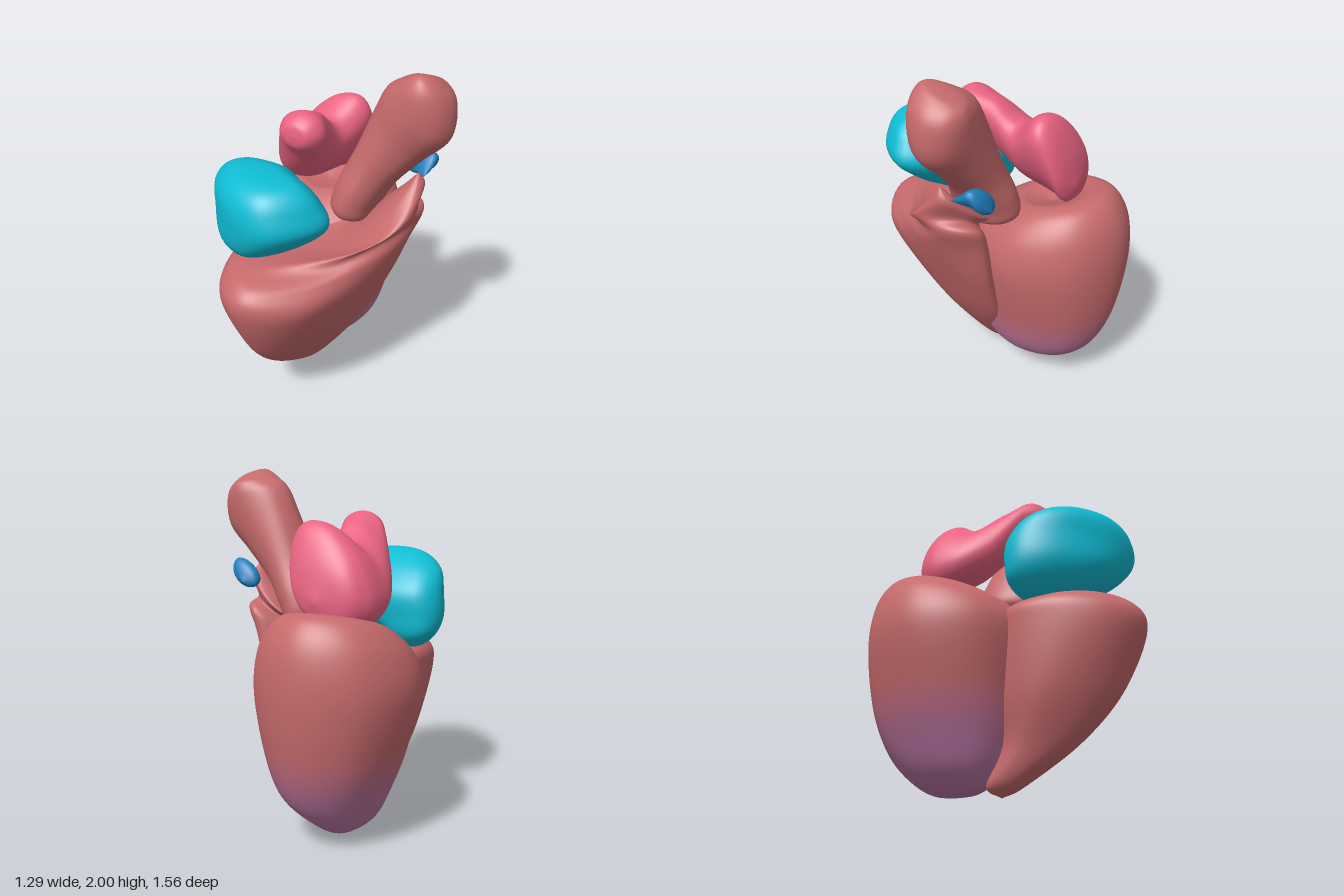
import * as THREE from 'three';
import { mergeVertices } from 'three/addons/utils/BufferGeometryUtils.js';

const V = (x, y, z) => new THREE.Vector3(x, y, z);
const RED = 0xc66a6c, PURPLE = 0xb774a2, PINK = 0xea6482, TEAL = 0x10bcd4, BLUE = 0x1f80bd;

// Smooth closed skin through rows of control points (first and last rows are poles)
function loft(rows, around = 48, along = 48) {
  const rings = rows.map(r => {
    const c = new THREE.CatmullRomCurve3(r, true, 'catmullrom', 0.5);
    return Array.from({ length: around }, (_, i) => c.getPoint(i / around));
  });
  const pos = [], idx = [];
  for (let i = 0; i < around; i++) {
    const c = new THREE.CatmullRomCurve3(rings.map(r => r[i]), false, 'catmullrom', 0.5);
    for (let j = 0; j <= along; j++) pos.push(...c.getPoint(j / along).toArray());
  }
  const id = (i, j) => (i % around) * (along + 1) + j;
  for (let i = 0; i < around; i++) for (let j = 0; j < along; j++) {
    const a = id(i, j), b = id(i + 1, j), c = id(i + 1, j + 1), d = id(i, j + 1);
    idx.push(a, b, c, a, c, d);
  }
  // Turn the faces outward when the enclosed volume is negative
  const p = k => V(pos[3 * k], pos[3 * k + 1], pos[3 * k + 2]);
  let volume = 0;
  for (let k = 0; k < idx.length; k += 3) volume += p(idx[k]).dot(p(idx[k + 1]).cross(p(idx[k + 2])));
  if (volume < 0) idx.reverse();
  let g = new THREE.BufferGeometry();
  g.setAttribute('position', new THREE.Float32BufferAttribute(pos, 3));
  g.setIndex(idx);
  g = mergeVertices(g, 1e-5);
  g.computeVertexNormals();
  return g;
}

// Eight points round a unit circle, starting at the front
const circle = Array.from({ length: 8 }, (_, i) => [-Math.sin(i * Math.PI / 4), Math.cos(i * Math.PI / 4)]);

// Horizontal oval: centre, radii, tilt about z, rise towards the back
const oval = ([x, y, z, rx, rz, tilt = 0, rise = 0]) => circle.map(([c, s]) =>
  V(x + rx * c * Math.cos(tilt), y - rx * c * Math.sin(tilt) - rise * rz * s, z + rz * s));

// Upright oval facing z: depth, centre, radii, shear lifting the +x side
const slice = ([z, x, y, rx, ry, shear = 0]) => circle.map(([c, s]) =>
  V(x + rx * c, y + ry * s + shear * rx * c, z));

// Section from x, z pairs, lifted towards the back on the +x side
const section = (y, pts, lift = 0) => pts.map(([x, z]) => V(x, y + lift * Math.max(0, x) * (0.5 - z), z));

export function createModel() {
  const model = new THREE.Group();
  const add = (name, geometry, color, parent = model) => {
    const mesh = new THREE.Mesh(geometry, new THREE.MeshStandardMaterial({ color }));
    mesh.name = name;
    parent.add(mesh);
  };

  // Back chamber: egg with a dimpled top, tinted towards its tip in soft bands
  const back = loft([
    [-0.22, 0.02, -0.23, 0, 0], [-0.22, 0.035, -0.24, 0.07, 0.13], [-0.21, 0.12, -0.26, 0.18, 0.25],
    [-0.18, 0.27, -0.29, 0.29, 0.36], [-0.19, 0.5, -0.31, 0.37, 0.43],
    [-0.2, 0.83, -0.31, 0.44, 0.47], [-0.2, 1.03, -0.32, 0.41, 0.44, 0, 0.12],
    [-0.2, 1.16, -0.34, 0.32, 0.34, 0, 0.22], [-0.2, 1.21, -0.35, 0.22, 0.22, 0, 0.25],
    [-0.2, 1.18, -0.33, 0.12, 0.12, 0, 0.25], [-0.2, 1.14, -0.32, 0, 0],
  ].map(oval), 72, 72);
  const bands = Array.from({ length: 12 }, () => []);
  const ix = back.index.array, bp = back.attributes.position;
  for (let k = 0; k < ix.length; k += 3) {
    const tri = [ix[k], ix[k + 1], ix[k + 2]];
    const y = tri.reduce((s, v) => s + bp.getY(v) / 3, 0);
    bands[Math.round(11 * (1 - THREE.MathUtils.smoothstep(y, 0.2, 0.62)))].push(...tri);
  }
  const backChamber = new THREE.Group();
  backChamber.name = 'backChamber';
  model.add(backChamber);
  bands.forEach((tris, i) => {
    const g = back.clone();
    g.setIndex(tris);
    const color = new THREE.Color(RED).lerp(new THREE.Color(PURPLE), i / 11);
    if (tris.length) add('backChamberBand' + (i + 1), g, color, backChamber);
  });

  // Front chamber: wedge growing from the shared tip
  const wedge = [
    section(0, circle.map(() => [-0.2, 0])),
    section(0.06, [[-0.2, 0.12], [-0.26, 0.1], [-0.28, 0.02], [-0.26, -0.05], [-0.2, -0.08], [-0.12, -0.04], [-0.1, 0.01], [-0.13, 0.09]]),
    section(0.25, [[-0.18, 0.41], [-0.27, 0.33], [-0.32, 0.15], [-0.25, 0], [-0.1, -0.05], [0.03, -0.09], [0.04, 0.08], [-0.06, 0.32]]),
    section(0.5, [[-0.15, 0.63], [-0.31, 0.5], [-0.39, 0.25], [-0.3, 0], [0, -0.05], [0.17, -0.2], [0.2, 0.1], [0.03, 0.5]]),
    section(0.82, [[-0.1, 0.77], [-0.33, 0.66], [-0.43, 0.35], [-0.35, 0.05], [0, 0], [0.29, -0.24], [0.35, 0.07], [0.17, 0.57]]),
  ];
  // Its shoulder rolls over and closes into the outlet horn
  const shoulder = [
    section(0.96, [[-0.1, 0.73], [-0.32, 0.62], [-0.42, 0.34], [-0.34, 0.07], [0.05, 0], [0.35, -0.25], [0.45, 0.04], [0.2, 0.48]], 0.45),
    section(1.02, [[-0.1, 0.56], [-0.24, 0.5], [-0.3, 0.32], [-0.22, 0.14], [0.12, -0.02], [0.39, -0.24], [0.5, -0.02], [0.22, 0.36]], 0.65),
  ];
  const horn = [
    [0.28, 1.15, 0.03, 0.25, 0.22, -0.45, 0.25], [0.43, 1.35, -0.06, 0.09, 0.085, -0.4, 0.1],
    [0.48, 1.46, -0.06, 0, 0],
  ].map(oval);
  add('frontChamber', loft([...wedge, ...shoulder, ...horn], 72, 72), RED);

  // Great vessel leaning up and outward
  add('greatVessel', loft([
    [0.09, 1.1, -0.08, 0, 0], [0.1, 1.16, -0.08, 0.12, 0.19, 0.3], [0.14, 1.28, -0.08, 0.135, 0.21, 0.5],
    [0.23, 1.45, -0.085, 0.145, 0.175, 0.6], [0.35, 1.64, -0.09, 0.185, 0.16, 0.65],
    [0.45, 1.78, -0.085, 0.21, 0.165, 0.55], [0.49, 1.9, -0.09, 0.15, 0.155, 0.3, -0.15],
    [0.485, 1.965, -0.1, 0.07, 0.11, 0.1, -0.3], [0.48, 1.98, -0.09, 0, 0],
  ].map(oval)), RED);

  // Front atrium: one outline scaled and shifted level by level
  const outline = [[-0.44, 0.11], [-0.54, 0.24], [-0.48, 0.44], [-0.29, 0.64], [-0.06, 0.72],
    [0.1, 0.65], [0.215, 0.45], [0.1, 0.29], [-0.02, 0.22], [-0.17, 0.11]];
  add('frontAtrium', loft([
    [0.97, -0.31, 0.32, 0, 0], [0.99, -0.31, 0.32, 0.3, 0.38], [1.06, -0.3, 0.34, 0.56, 0.7],
    [1.16, -0.24, 0.38, 0.82, 0.9], [1.3, -0.165, 0.405, 1, 1], [1.42, -0.165, 0.44, 0.91, 0.86],
    [1.5, -0.15, 0.47, 0.7, 0.62], [1.54, -0.13, 0.48, 0.42, 0.34], [1.55, -0.12, 0.48, 0, 0],
  ].map(([y, cx, cz, sx, sz]) =>
    outline.map(([x, z]) => V(cx + (x + 0.165) * sx, y, cz + (z - 0.405) * sz)))), TEAL);

  // Rear atrium: two joined lumps running back, low on the -x side
  add('rearAtrium', loft([
    [0.25, -0.1, 1.65, 0, 0], [0.23, -0.1, 1.65, 0.085, 0.07], [0.14, -0.11, 1.63, 0.14, 0.13, 0.1],
    [0, -0.19, 1.51, 0.165, 0.17, 0.6], [-0.15, -0.22, 1.41, 0.2, 0.18, 0.45],
    [-0.3, -0.19, 1.44, 0.24, 0.23, 0.6], [-0.39, -0.18, 1.42, 0.225, 0.22, 0.5],
    [-0.46, -0.17, 1.35, 0.16, 0.15, 0.2], [-0.495, -0.15, 1.31, 0, 0],
  ].map(slice)), PINK);

  // Small teardrop valve behind the horn
  add('valve', loft([
    [-0.13, 0.48, 1.4, 0, 0], [-0.19, 0.455, 1.415, 0.045, 0.03, 0.4], [-0.25, 0.425, 1.425, 0.085, 0.06, 0.5],
    [-0.3, 0.415, 1.4, 0.075, 0.055, 0.4], [-0.33, 0.41, 1.37, 0, 0],
  ].map(slice), 24, 20), BLUE);

  return model;
}
